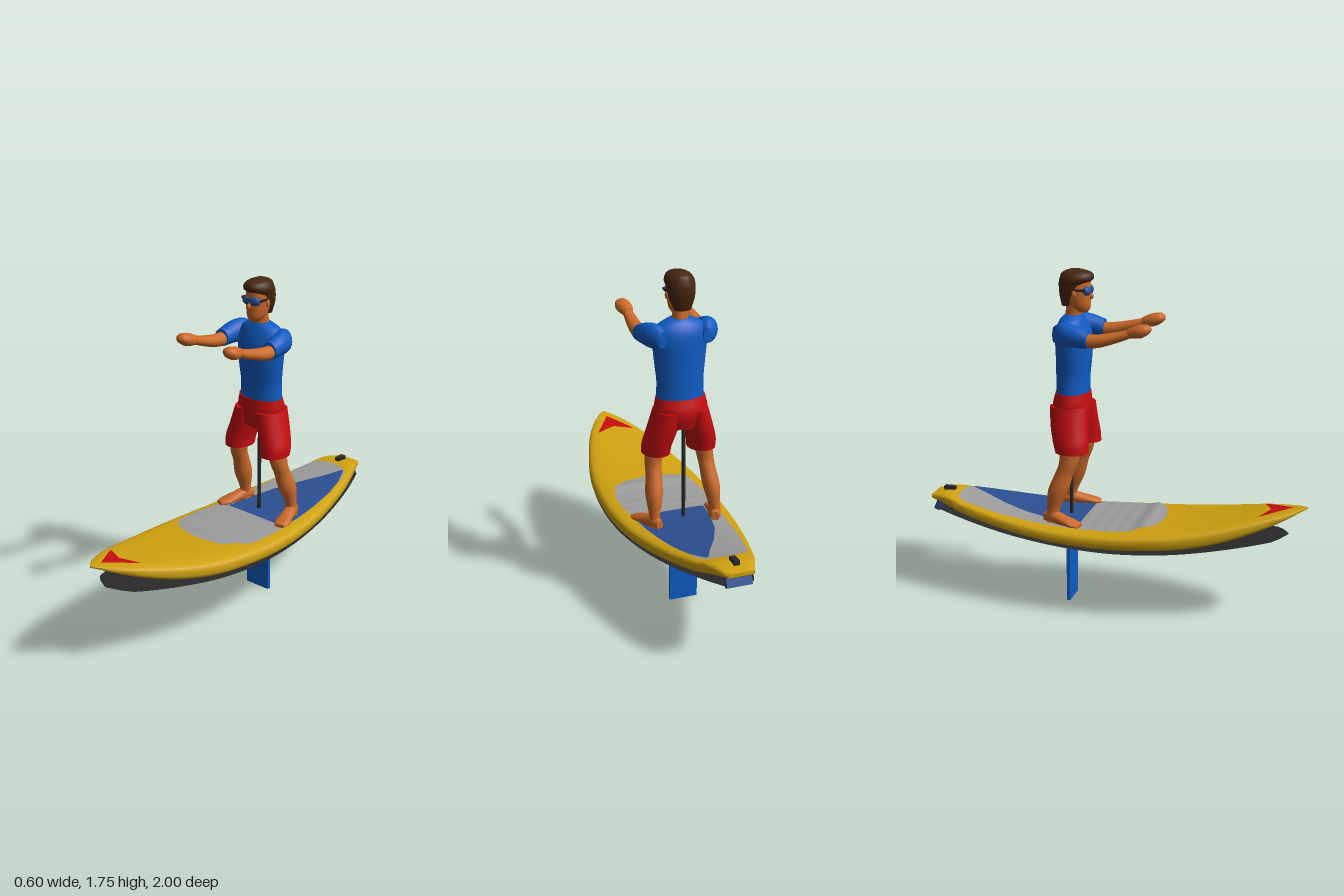
import * as THREE from 'three';
import { toCreasedNormals } from 'three/addons/utils/BufferGeometryUtils.js';

const mat = (name, color, side = THREE.FrontSide) => {
  const m = new THREE.MeshStandardMaterial({ color, side });
  m.name = name;
  return m;
};

// Surface through a grid of points f(u, v), u and v from 0 to 1
function grid(nu, nv, f) {
  const pos = [], idx = [];
  for (let i = 0; i <= nu; i++) for (let j = 0; j <= nv; j++) pos.push(...f(i / nu, j / nv));
  for (let i = 0; i < nu; i++) for (let j = 0; j < nv; j++) {
    const a = i * (nv + 1) + j, b = a + 1, c = a + nv + 1, d = c + 1;
    idx.push(a, c, b, b, c, d);
  }
  const g = new THREE.BufferGeometry();
  g.setAttribute('position', new THREE.Float32BufferAttribute(pos, 3));
  g.setIndex(idx);
  return toCreasedNormals(g, 0.9);
}

// Smooth interpolation of rows [key, ...values]
function spline(rows) {
  const n = rows[0].length - 1;
  const it = new THREE.CubicInterpolant(rows.map(r => r[0]), rows.flatMap(r => r.slice(1)), n);
  return t => Array.from(it.evaluate(t));
}

// Closed body from elliptical rings [x, y, z, r1, r2] stacked along +y or +z
function loft(axis, rings, s = 1) {
  const at = spline(rings.map((r, i) => [i, ...r]));
  const n = (rings.length - 1) * 4;
  return grid(n + 2, 18, (u, v) => {
    const row = Math.round(u * (n + 2)) - 1;
    const cap = row < 0 || row > n ? 0 : 1;
    const [x, y, z, p, q] = at(THREE.MathUtils.clamp(row, 0, n) / 4);
    const a = v * Math.PI * 2, c = Math.cos(a) * p * cap, d = Math.sin(a) * q * cap;
    return axis === 'y' ? [x * s + c, y, z + d] : [x * s + c, y - d, z];
  });
}

// Board: z, half width, deck height, bottom height
const hull = spline([
  [-1, 0.07, 0.52, 0.495], [-0.9, 0.115, 0.535, 0.47], [-0.8, 0.152, 0.515, 0.44],
  [-0.6, 0.21, 0.485, 0.405], [-0.4, 0.255, 0.465, 0.38], [-0.2, 0.285, 0.456, 0.367],
  [0, 0.298, 0.46, 0.363], [0.2, 0.293, 0.472, 0.372], [0.4, 0.27, 0.492, 0.39],
  [0.6, 0.22, 0.525, 0.43], [0.8, 0.145, 0.565, 0.5], [0.9, 0.09, 0.582, 0.545],
  [0.96, 0.045, 0.593, 0.575], [1, 0.004, 0.6, 0.592]]);
const deckY = (x, z) => {
  const [w, t, b] = hull(z);
  const k = Math.max(0, 1 - (Math.abs(x) / w) ** 4) ** 0.25;
  return (t + b) / 2 + k * (t - b) / 2;
};
const hullShell = (a0, a1) => grid(64, 24, (u, v) => {
  const z = u * 2 - 1, [w, t, b] = hull(z), a = a0 + (a1 - a0) * v;
  const pw = q => Math.sign(q) * Math.sqrt(Math.abs(q));
  return [w * pw(Math.cos(a)), (t + b) / 2 - pw(Math.sin(a)) * (t - b) / 2, z];
});
// Thin pad on the deck between the curves of rows [z, left x, right x]
const deckPad = (rows, lift) => {
  const z0 = rows[0][0], z1 = rows[rows.length - 1][0];
  return grid(56, 14, (u, v) => {
    const z = z0 + (z1 - z0) * u;
    const i = Math.max(1, rows.findIndex(r => r[0] >= z - 1e-9));
    const A = rows[i - 1], B = rows[i], k = (z - A[0]) / (B[0] - A[0]);
    const x = THREE.MathUtils.lerp(A[1] + (B[1] - A[1]) * k, A[2] + (B[2] - A[2]) * k, v);
    return [x, deckY(x, z) + lift(z), z];
  });
};

export function createModel() {
  const model = new THREE.Group();
  const yellow = mat('board yellow', 0xd0a210, THREE.DoubleSide);
  const black = mat('black', 0x2a2a2a, THREE.DoubleSide);
  const grey = mat('pad grey', 0x9c9c9c, THREE.DoubleSide);
  const navy = mat('dull blue', 0x2c4f92);
  const blue = mat('bright blue', 0x0f5cc4);
  const red = mat('red', 0xc60d10);
  const skin = mat('skin', 0xcc6a2a);
  const brown = mat('hair brown', 0x472610);
  const add = (name, geo, m, x = 0, y = 0, z = 0, parent = model) => {
    const mesh = new THREE.Mesh(geo, m);
    mesh.name = name;
    mesh.position.set(x, y, z);
    parent.add(mesh);
    return mesh;
  };

  // Board shell with a dark belly, and the bowed sheet beneath it
  const edge = Math.acos(0.6);
  add('boardShell', hullShell(Math.PI - edge, Math.PI * 2 + edge), yellow);
  add('boardBelly', hullShell(edge, Math.PI - edge), black);
  add('boardTailCap', new THREE.BoxGeometry(0.13, 0.02, 0.01), yellow, 0, 0.508, -0.997);
  const sheetY = spline([[-0.98, 0.45], [-0.5, 0.385], [0, 0.359], [0.3, 0.372], [0.6, 0.405], [0.91, 0.45]]);
  add('bottomSheet', grid(50, 6, (u, v) => {
    const z = -0.98 + 1.89 * u;
    const w = hull(z)[0] * 0.95 * Math.sqrt(Math.min(1, (0.91 - z) / 0.07));
    return [(v * 2 - 1) * w, sheetY(z)[0], z];
  }), black);

  // Deck pads and nose arrow
  const sides = [[-0.85, 0.05], [-0.83, 0.1], [-0.8, 0.125], [-0.56, 0.18], [-0.3, 0.215], [0, 0.237],
    [0.1, 0.235], [0.18, 0.21], [0.22, 0.18], [0.25, 0.13], [0.27, 0.02]];
  add('deckPad', deckPad(sides.map(([z, w]) => [z, -w, w]),
    z => 0.006 + 0.014 * Math.exp(-(((z - 0.19) / 0.035) ** 2)) + (z > -0.1 && z < 0.16 ? 0.002 * Math.sin(z * 90) : 0)), grey);
  add('bluePad', deckPad([[-0.82, 0.09, 0.1], [-0.72, 0.04, 0.145], [-0.6, -0.03, 0.175],
    [-0.45, -0.1, 0.198], [-0.3, -0.14, 0.215], [-0.15, -0.16, 0.225]], () => 0.01), navy);
  add('noseArrow', grid(8, 20, (u, v) => {
    const x = (v * 2 - 1) * 0.1, a = Math.abs(x);
    const z = THREE.MathUtils.lerp(0.815 - 0.45 * a, 0.93 - 1.5 * a, u);
    return [x, deckY(x, z) + 0.006, z];
  }), red);

  // Tail fittings, pole and daggerboard
  add('tailLoop', new THREE.BoxGeometry(0.03, 0.025, 0.06), black, 0, 0.54, -0.92);
  add('tailFin', new THREE.BoxGeometry(0.13, 0.065, 0.03), navy, 0, 0.465, -0.965).rotation.x = 0.4;
  add('pole', new THREE.CylinderGeometry(0.01, 0.01, 0.67, 12), black, -0.015, 0.665, -0.235);
  add('daggerboard', new THREE.BoxGeometry(0.15, 0.33, 0.018), blue, -0.015, 0.165, -0.235);

  // Torso and hips
  add('shirt', loft('y', [[0.003, 1.11, -0.225, 0.125, 0.084], [0.003, 1.2, -0.225, 0.12, 0.085],
    [0.003, 1.3, -0.22, 0.13, 0.09], [0.003, 1.4, -0.22, 0.14, 0.092], [0.003, 1.46, -0.225, 0.138, 0.08],
    [0.003, 1.5, -0.225, 0.112, 0.062], [0.003, 1.525, -0.22, 0.055, 0.045]]), blue);
  add('hips', loft('y', [[0, 0.97, -0.225, 0.1, 0.085], [0, 1.05, -0.23, 0.138, 0.1], [0, 1.125, -0.225, 0.128, 0.088]]), red);

  for (const s of [1, -1]) {
    const side = s > 0 ? 'left' : 'right';
    // Legs
    add(side + 'ShortsLeg', loft('y', [[0.122, 0.83, -0.2, 0.072, 0.087], [0.118, 0.88, -0.207, 0.074, 0.092],
      [0.095, 0.96, -0.22, 0.074, 0.098], [0.07, 1.06, -0.228, 0.068, 0.1]], s), red);
    add(side + 'Leg', loft('y', [[0.165, 0.465, -0.29, 0.03, 0.036], [0.162, 0.53, -0.29, 0.028, 0.033],
      [0.155, 0.63, -0.265, 0.043, 0.053], [0.145, 0.72, -0.235, 0.04, 0.048],
      [0.14, 0.78, -0.212, 0.042, 0.05], [0.125, 0.88, -0.2, 0.05, 0.06]], s), skin);
    add(side + 'Foot', loft('z', [[0, 0.03, -0.05, 0.02, 0.026], [0, 0.036, 0, 0.031, 0.036],
      [0, 0.026, 0.07, 0.037, 0.026], [0, 0.017, 0.125, 0.042, 0.016], [0, 0.012, 0.16, 0.028, 0.009]]),
      skin, s * 0.165, 0.455, -0.29).rotation.y = s * 0.3;
    // Arms reaching forward
    add(side + 'Sleeve', loft('z', [[0.12, 1.44, -0.29, 0.025, 0.04], [0.138, 1.447, -0.24, 0.052, 0.062],
      [0.155, 1.443, -0.17, 0.05, 0.056], [0.16, 1.43, -0.1, 0.045, 0.045]], s), blue);
    add(side + 'Forearm', loft('z', [[0.16, 1.425, -0.15, 0.036, 0.035], [0.16, 1.425, -0.06, 0.038, 0.034],
      [0.157, 1.445, 0.03, 0.033, 0.029], [0.152, 1.472, 0.12, 0.025, 0.022]], s), skin);
    add(side + 'Fist', loft('z', [[0.152, 1.472, 0.1, 0.024, 0.022], [0.153, 1.48, 0.135, 0.036, 0.031],
      [0.156, 1.487, 0.17, 0.041, 0.034], [0.156, 1.495, 0.2, 0.034, 0.026], [0.156, 1.497, 0.218, 0.014, 0.012]], s), skin);
    // Ears and glasses
    add(side + 'Ear', new THREE.SphereGeometry(0.016, 10, 8), skin, s * 0.064, 1.635, -0.2).scale.set(0.5, 1.2, 0.8);
    const lens = add(side + 'Lens', new THREE.SphereGeometry(0.03, 14, 10), navy, s * 0.029, 1.65, -0.141);
    lens.scale.set(1, 0.8, 0.6);
    lens.rotation.y = s * 0.4;
    add(side + 'GlassesArm', new THREE.BoxGeometry(0.006, 0.012, 0.07), black, s * 0.061, 1.655, -0.18);
  }

  // Head
  add('neck', loft('y', [[0, 1.48, -0.225, 0.044, 0.044], [0, 1.53, -0.22, 0.04, 0.042], [0, 1.59, -0.21, 0.042, 0.045]]), skin);
  add('head', loft('y', [[0, 1.538, -0.175, 0.022, 0.028], [0, 1.56, -0.185, 0.042, 0.052], [0, 1.6, -0.198, 0.055, 0.068],
    [0, 1.66, -0.205, 0.062, 0.075], [0, 1.71, -0.205, 0.06, 0.074]]), skin);
  add('nose', new THREE.SphereGeometry(0.013, 10, 8), skin, 0, 1.62, -0.128).scale.set(0.8, 1.3, 1);
  add('glassesBridge', new THREE.BoxGeometry(0.03, 0.016, 0.012), navy, 0, 1.658, -0.128);
  add('hair', loft('y', [[0, 1.57, -0.25, 0.042, 0.03], [0, 1.63, -0.237, 0.065, 0.055], [0, 1.68, -0.222, 0.071, 0.073],
    [0, 1.708, -0.203, 0.073, 0.087], [0, 1.738, -0.2, 0.056, 0.076], [0, 1.755, -0.205, 0.02, 0.03]]), brown);
  return model;
}
